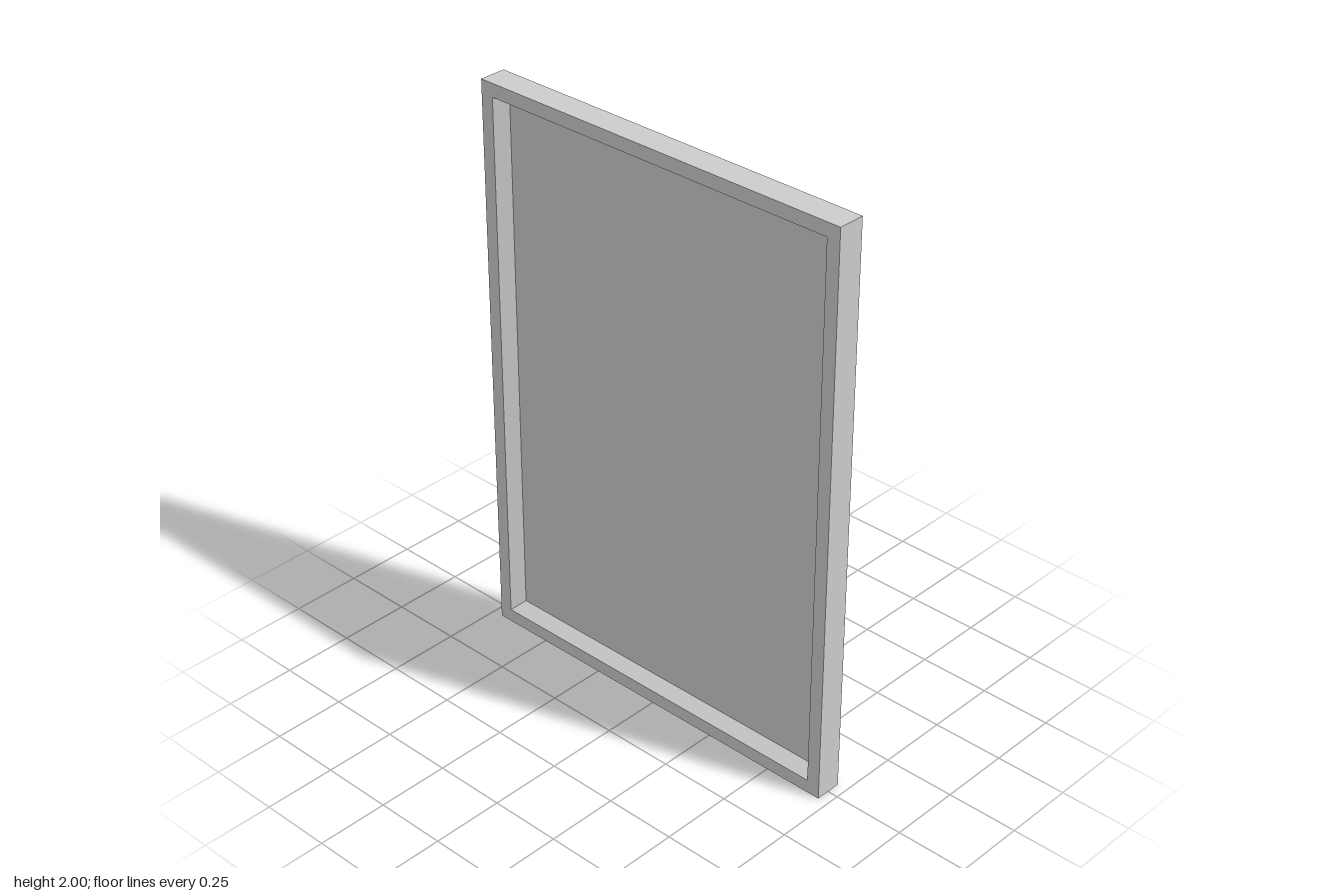
import * as THREE from 'three';

const HALF_W = 0.713, HALF_H = 1, HALF_D = 0.047;
const RIM = 0.047;      // width of the flat front border
const SLOPE = 0.024;    // inward run of the sloped recess walls
const FLOOR_Z = -0.002; // depth of the recessed panel

// Rectangle inset from the outline, counter-clockwise seen from the front
function ring(inset, z) {
  const w = HALF_W - inset, h = HALF_H - inset;
  return [[-w, 1 - h, z], [w, 1 - h, z], [w, 1 + h, z], [-w, 1 + h, z]];
}

// Flat-shaded geometry from four-cornered faces
function quads(faces) {
  const points = faces.flatMap(([a, b, c, d]) => [a, b, c, a, c, d]);
  const geometry = new THREE.BufferGeometry();
  geometry.setAttribute('position', new THREE.Float32BufferAttribute(points.flat(), 3));
  geometry.computeVertexNormals();
  return geometry;
}

// Walls joining consecutive rings
function loft(rings) {
  const faces = [];
  for (let r = 0; r < rings.length - 1; r++) {
    const a = rings[r], b = rings[r + 1];
    for (let i = 0; i < 4; i++) {
      const j = (i + 1) % 4;
      faces.push([a[i], a[j], b[j], b[i]]);
    }
  }
  return faces;
}

export function createModel() {
  const group = new THREE.Group();
  group.name = 'framedPanel';
  const material = new THREE.MeshStandardMaterial({ color: 0xcccccc, flatShading: true });

  const add = (name, faces) => {
    const mesh = new THREE.Mesh(quads(faces), material);
    mesh.name = name;
    group.add(mesh);
  };

  const back = ring(0, -HALF_D);
  const front = ring(0, HALF_D);
  const opening = ring(RIM, HALF_D);
  const floor = ring(RIM + SLOPE, FLOOR_Z);

  // Outer sides, front border and sloped recess walls
  add('frame', loft([back, front, opening, floor]));
  // Recessed front surface
  add('panel', [floor]);
  // Plain back
  add('backBoard', [[...back].reverse()]);

  return group;
}
